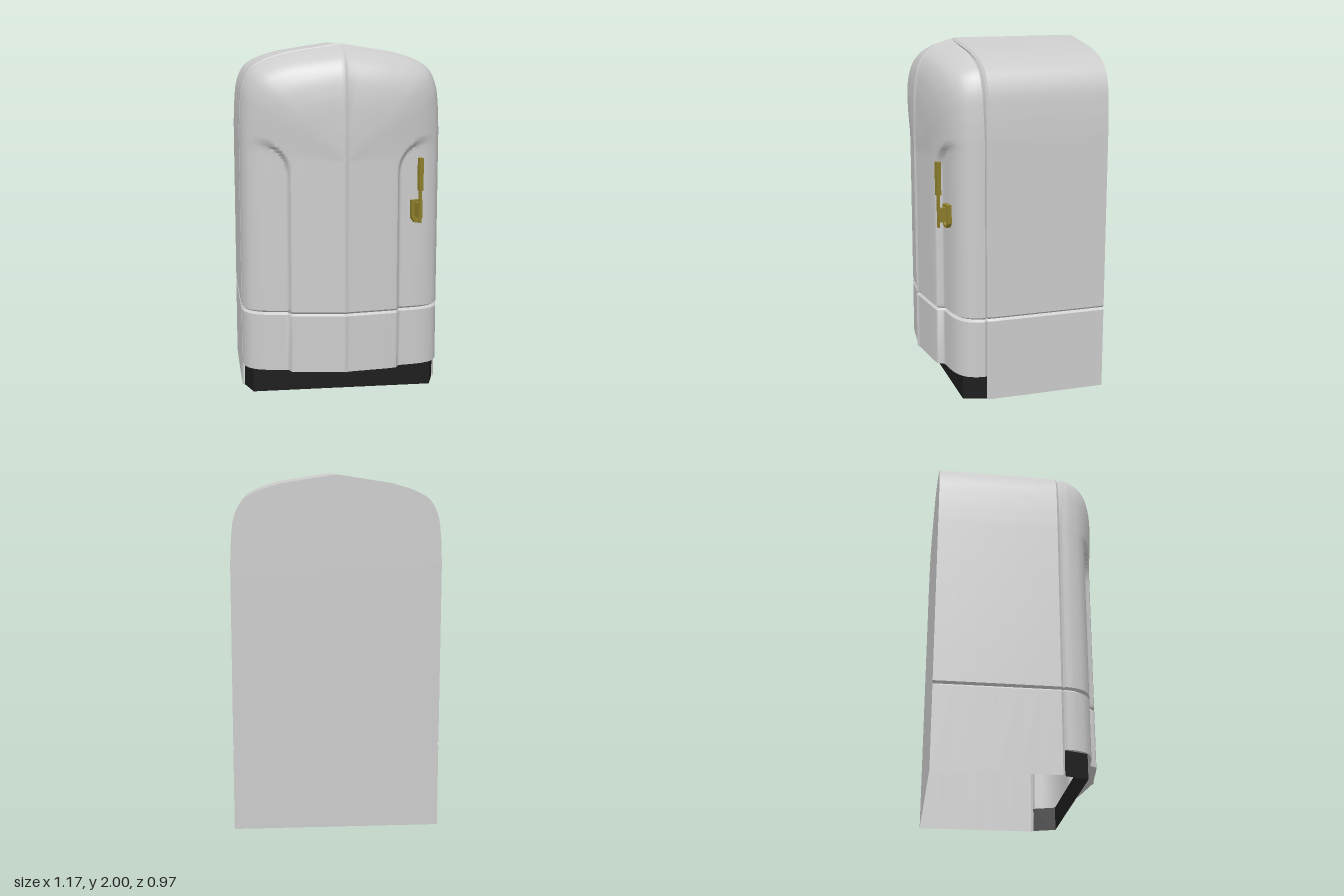
import * as THREE from 'three';
import { toCreasedNormals } from 'three/addons/utils/BufferGeometryUtils.js';

const { lerp, smoothstep } = THREE.MathUtils;
const V = (x, y) => new THREE.Vector3(x, y, 0);
const BACK = -0.49, DOOR_BOTTOM = 0.14, SEAM_Y = 0.48;

// Surface through a grid of points given by fn(i, j) -> [x, y, z]
function grid(rows, cols, fn, crease = 0.6) {
  const pos = [], idx = [];
  for (let i = 0; i < rows; i++) for (let j = 0; j < cols; j++) {
    pos.push(...fn(i, j));
    if (i < rows - 1 && j < cols - 1) {
      const a = i * cols + j, b = a + cols;
      idx.push(a, b, a + 1, b, b + 1, a + 1);
    }
  }
  const g = new THREE.BufferGeometry();
  g.setAttribute('position', new THREE.Float32BufferAttribute(pos, 3));
  g.setIndex(idx);
  return toCreasedNormals(g, crease);
}

// Arched cabinet outline, from bottom left (+x) over the peak to bottom right (-x)
function outline(bottom) {
  const half = [];
  const low = [bottom, SEAM_Y - 0.012, SEAM_Y - 0.006, SEAM_Y, SEAM_Y + 0.006, SEAM_Y + 0.012];
  low.forEach(y => half.push([0.583, y]));
  for (let k = 1; k <= 40; k++) half.push([0.583, lerp(SEAM_Y + 0.012, 1.5, k / 40)]);
  const arch = new THREE.CatmullRomCurve3([V(0.583, 1.5), V(0.577, 1.64), V(0.56, 1.77),
    V(0.515, 1.86), V(0.43, 1.912), V(0.3, 1.953)]);
  for (let k = 1; k <= 24; k++) { const p = arch.getPoint(k / 24); half.push([p.x, p.y]); }
  for (const x of [0.2, 0.1, 0.03, 0.015, 0]) half.push([x, 2 - 0.047 * x / 0.3]);
  const other = half.slice(0, -1).reverse().map(([x, y]) => [-x, y]);
  return [...half, ...other];
}

// Horizontal groove between door and lower panel
const groove = y => 0.014 * Math.max(0, 1 - Math.abs(y - SEAM_Y) / 0.012);
// Depth of the seam between cabinet and door
const seamZ = x => 0.21 + 0.03 * (1 - Math.abs(x) / 0.58);

// Door rounding as (distance from spine, z): towards the sides and towards the top
const curve = pts => new THREE.CatmullRomCurve3(pts.map(p => V(...p)));
const sideProfile = curve([[1, 0.222], [0.985, 0.27], [0.945, 0.32], [0.87, 0.36],
  [0.73, 0.4], [0.5, 0.435], [0.25, 0.455], [0, 0.472]]);
const topProfile = curve([[1, 0.25], [0.985, 0.28], [0.94, 0.345], [0.877, 0.4],
  [0.77, 0.44], [0.6, 0.463], [0.3, 0.472], [0, 0.472]]);
const STEPS = 126;
const sideRing = [], topRing = [];
for (let k = 0; k <= STEPS; k++) {
  sideRing.push(sideProfile.getPoint(k / STEPS));
  topRing.push(topProfile.getPoint(k / STEPS));
}

// Scooped panels either side of the raised middle
function recess(x, y) {
  const ax = Math.abs(x);
  const q = Math.hypot(Math.max(0, 0.5 - ax) / 0.2, Math.max(0, y - 1.28) / 0.19);
  return 0.035 * (1 - smoothstep(q, 0.88, 1)) * (1 - smoothstep(ax, 0.3, 0.56));
}

function doorPoint([ox, oy], j) {
  const bx = ox * 0.99, by = oy > 1.5 ? oy - 0.006 * (oy - 1.5) / 0.5 : oy;
  const cy = Math.min(by, 1.35), dy = by - cy;
  const w = dy * dy / (bx * bx + dy * dy);
  const d = groove(by);
  if (j === 0) return [bx * 0.98 * (1 - d / 0.58), cy + dy * 0.98, seamZ(bx)];
  const s = sideRing[j - 1], t = topRing[j - 1];
  const r = lerp(s.x, t.x, w);
  const x = bx * r * (1 - d / 0.58), y = cy + dy * r;
  const ridge = 0.008 * Math.max(0, 1 - Math.abs(x) / 0.015);
  return [x, y, lerp(s.y, t.y, w) + ridge - recess(x, y) - d * (1 - smoothstep(r, 0.95, 1))];
}

export function createModel() {
  const model = new THREE.Group();
  const paint = color => new THREE.MeshStandardMaterial({ color, side: THREE.DoubleSide });
  const grey = paint(0xcccccc), black = paint(0x1c1c1c), brass = paint(0x8f7f2c);
  const add = (parent, name, geometry, material, x = 0, y = 0, z = 0) => {
    const m = new THREE.Mesh(geometry, material);
    m.name = name;
    m.position.set(x, y, z);
    parent.add(m);
    return m;
  };

  // Cabinet shell, open underneath
  const rim = outline(0);
  add(model, 'cabinet', grid(rim.length, 8, (i, j) => {
    const [x, y] = rim[i], end = seamZ(x), t = Math.min(j / 6, 1);
    const k = (1 - 0.008 * t * t) * (1 - groove(y) / 0.58) * (j === 7 ? 0.98 : 1);
    const top = j === 7 && y > 1.5 ? 0.014 * (y - 1.5) / 0.5 : 0;
    return [x * k, y - top, j === 7 ? end : lerp(BACK, end - 0.012, t)];
  }), grey);

  // Back panel
  const backShape = new THREE.Shape(rim.map(([x, y]) => new THREE.Vector2(x * (1 - groove(y) / 0.58), y)));
  const back = new THREE.ShapeGeometry(backShape).rotateY(Math.PI);
  add(model, 'backPanel', back, grey, 0, 0, BACK);

  // Door with lower panel
  const doorRim = outline(DOOR_BOTTOM);
  add(model, 'door', grid(doorRim.length, STEPS + 2, (i, j) => doorPoint(doorRim[i], j)), grey);

  // Kick plate
  const kick = [[0.565, 0.21], [0.52, 0.34], [-0.52, 0.34], [-0.565, 0.21]];
  add(model, 'kickPlate', grid(2, 4, (i, j) => [kick[j][0], i * DOOR_BOTTOM, kick[j][1]], 0.1)
    , black);

  // Underside of the door overhanging the kick plate
  const edge = [];
  for (let j = 0; j <= STEPS + 1; j += 3) {
    const [x, , z] = doorPoint(doorRim[0], j);
    edge.push(new THREE.Vector2(x, z));
  }
  const mirrored = edge.slice().reverse().map(p => new THREE.Vector2(-p.x, p.y));
  const under = new THREE.Shape([...edge, ...mirrored,
    ...kick.slice().reverse().map(p => new THREE.Vector2(...p))]);
  add(model, 'doorUnderside', new THREE.ShapeGeometry(under).rotateX(Math.PI / 2), grey, 0, DOOR_BOTTOM, 0);

  // Latch handle: U-shaped mount, connector, blade and grip
  const handle = new THREE.Group();
  handle.name = 'doorHandle';
  handle.position.set(0.415, 0, 0.378);
  handle.rotation.y = 0.2;
  const plate = new THREE.Shape([[-0.032, 1.12], [-0.032, 1.015], [-0.014, 0.99], [0.014, 0.99],
    [0.032, 1.015], [0.032, 1.12]].map(p => new THREE.Vector2(...p)));
  plate.holes.push(new THREE.Path([[-0.02, 1.108], [0.02, 1.108], [0.02, 1.02], [0.01, 1.005],
    [-0.01, 1.005], [-0.02, 1.02]].map(p => new THREE.Vector2(...p))));
  add(handle, 'handleMount', new THREE.ExtrudeGeometry(plate, { depth: 0.03, bevelEnabled: false }), brass);
  add(handle, 'handleBase', new THREE.BoxGeometry(0.05, 0.11, 0.015), brass, 0, 1.06, 0.008);
  add(handle, 'handleConnector', new THREE.BoxGeometry(0.02, 0.08, 0.06), brass, 0, 1.065, 0.04);
  add(handle, 'handleBlade', new THREE.BoxGeometry(0.016, 0.19, 0.012), brass, 0, 1.09, 0.07);
  add(handle, 'handleGrip', new THREE.BoxGeometry(0.026, 0.185, 0.026), brass, 0, 1.272, 0.07);
  model.add(handle);

  return model;
}
